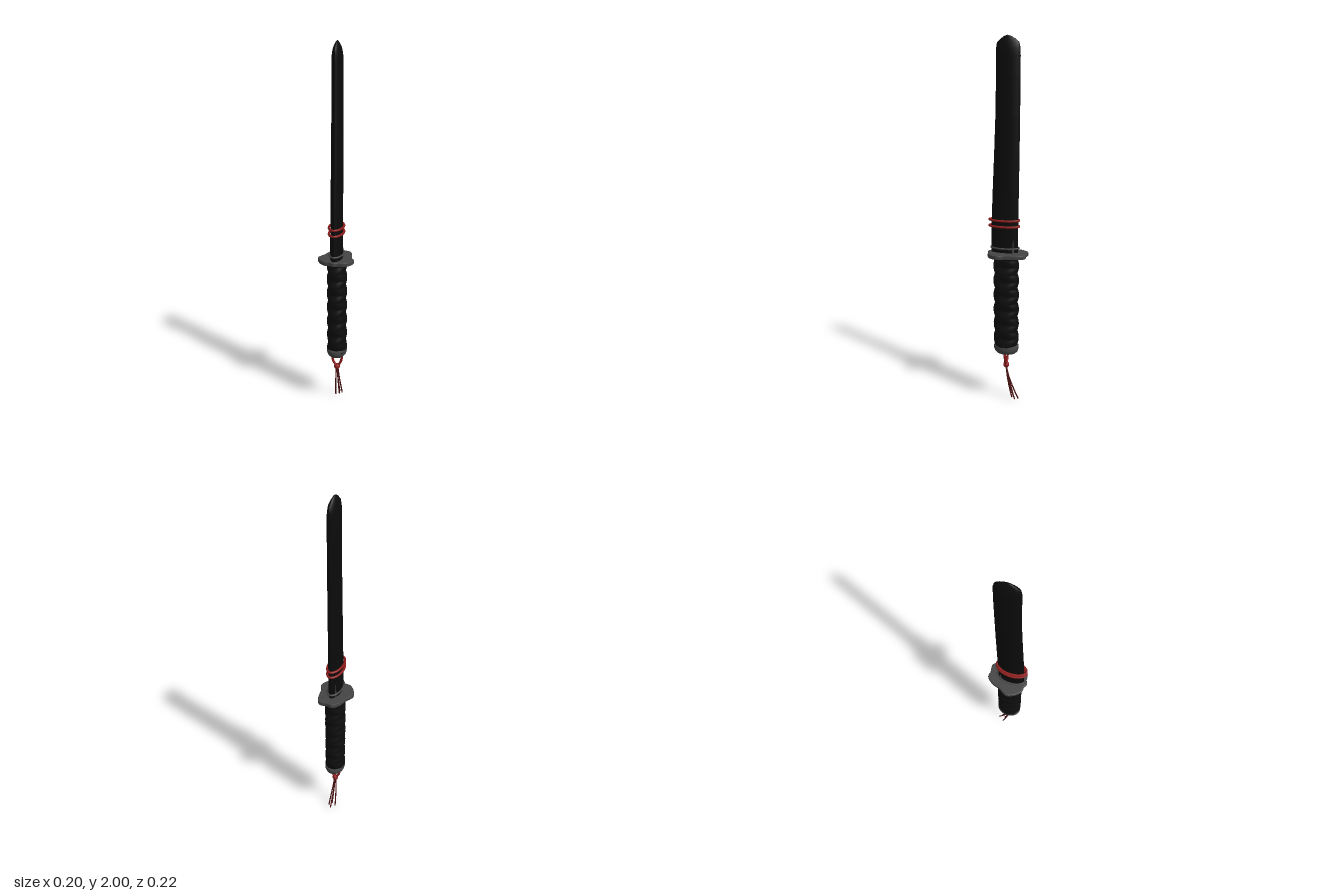
import * as THREE from 'three';

const mat = (name, color, side = THREE.FrontSide) => {
  const m = new THREE.MeshStandardMaterial({ color, side });
  m.name = name;
  return m;
};

// Surface through rings of points; point(i, angle) returns [x, y, z], rings run upward
function loft(ringCount, sides, point) {
  const pos = [], idx = [];
  for (let i = 0; i < ringCount; i++) {
    for (let j = 0; j < sides; j++) pos.push(...point(i, (j / sides) * Math.PI * 2));
  }
  for (let i = 0; i < ringCount - 1; i++) {
    for (let j = 0; j < sides; j++) {
      const k = (j + 1) % sides;
      const a = i * sides + j, b = i * sides + k, c = a + sides, d = b + sides;
      idx.push(a, c, b, b, c, d);
    }
  }
  const g = new THREE.BufferGeometry();
  g.setAttribute('position', new THREE.Float32BufferAttribute(pos, 3));
  g.setIndex(idx);
  g.computeVertexNormals();
  return g;
}

// Lens-shaped section point: half width hx, spanning z from back to front
function lens(angle, hx, back, front, power = 1.2) {
  const c = Math.cos(angle);
  return [Math.sign(c) * hx * Math.abs(c) ** power,
    (front + back) / 2 + ((front - back) / 2) * Math.sin(angle)];
}

export function createModel() {
  const group = new THREE.Group();
  const black = mat('blade black', 0x0b0b0b);
  const wrapBlack = mat('handle black', 0x0e0e0e);
  const gray = mat('dark gray metal', 0x444444);
  const red = mat('red cord', 0x8e1c1c);
  const darkRed = mat('dark red thread', 0x4c1212);

  const add = (name, geometry, material, parent = group) => {
    const m = new THREE.Mesh(geometry, material);
    m.name = name;
    parent.add(m);
    return m;
  };
  const V = (x, y, z) => new THREE.Vector3(x, y, z);

  // Blade: y, half width, back z, front z
  const blade = [
    [0.85, 0.032, -0.06, 0.09], [1.0, 0.032, -0.062, 0.088], [1.2, 0.031, -0.065, 0.08],
    [1.4, 0.03, -0.068, 0.071], [1.6, 0.029, -0.07, 0.063], [1.8, 0.028, -0.072, 0.059],
    [1.9, 0.028, -0.072, 0.059], [1.935, 0.026, -0.071, 0.058], [1.965, 0.02, -0.065, 0.053],
    [1.985, 0.011, -0.04, 0.03], [1.996, 0.005, -0.018, 0.012], [2.0, 0.0005, -0.004, -0.002],
  ];
  add('blade', loft(blade.length, 32, (i, a) => {
    const [y, hx, back, front] = blade[i];
    const [x, z] = lens(a, hx, back, front);
    return [x, y, z];
  }), black);

  // Cord rings round the blade and the collar above the guard
  const ring = (name, y, hx, back, front, r, material) => {
    const pts = [];
    for (let i = 0; i < 32; i++) {
      const [x, z] = lens((i / 32) * Math.PI * 2, hx, back, front, 1.1);
      pts.push(V(x, y, z));
    }
    add(name, new THREE.TubeGeometry(new THREE.CatmullRomCurve3(pts, true), 64, r, 8, true), material);
  };
  ring('upperCordRing', 1.045, 0.038, -0.066, 0.099, 0.0065, red);
  ring('lowerCordRing', 1.012, 0.038, -0.066, 0.099, 0.0065, red);
  ring('collarRing', 0.892, 0.037, -0.066, 0.09, 0.005, gray);

  // Slim tapered prongs standing on the guard beside the blade
  for (const s of [-1, 1]) {
    const prong = add(s > 0 ? 'leftProng' : 'rightProng', new THREE.ConeGeometry(0.006, 0.09, 8), gray);
    prong.position.set(s * 0.022, 0.91, -0.04);
  }

  // Guard: lobed plate with a soft bevel
  const outline = [
    [0, -0.104], [0.042, -0.108], [0.062, -0.078], [0.072, -0.03], [0.078, 0.0], [0.094, 0.03],
    [0.077, 0.072], [0.05, 0.09], [0.02, 0.094], [0, 0.103], [-0.02, 0.094], [-0.05, 0.09],
    [-0.078, 0.065], [-0.097, 0.022], [-0.088, -0.002], [-0.072, -0.03], [-0.06, -0.07], [-0.03, -0.107],
  ].map(([x, z]) => V(x, -z, 0));
  const edge = new THREE.CatmullRomCurve3(outline, true).getPoints(90).slice(0, -1);
  const guardGeo = new THREE.ExtrudeGeometry(
    new THREE.Shape(edge.map((p) => new THREE.Vector2(p.x, p.y))),
    { depth: 0.015, bevelThickness: 0.004, bevelSize: 0.004, bevelSegments: 2 });
  guardGeo.rotateX(-Math.PI / 2);
  guardGeo.translate(0, 0.849, 0);
  add('guard', guardGeo, gray);

  // Handle: oval grip swollen by two crossing spiral wraps
  const rows = 110, y0 = 0.315, y1 = 0.85, pitch = 0.083;
  add('handle', loft(rows, 40, (i, a) => {
    const y = y0 + ((y1 - y0) * i) / (rows - 1);
    const p = (y / pitch) * Math.PI * 2;
    const wave = Math.max(Math.cos(p + 2 * a), Math.cos(p - 2 * a));
    const swell = 0.004 * wave;
    return [(0.051 + swell) * Math.cos(a), y, 0.005 + (0.067 + swell) * Math.sin(a)];
  }), wrapBlack);

  // Pommel: rounded oval cap
  const profile = [[0.001, 0], [0.55, 0], [0.78, 0.005], [0.92, 0.015], [1, 0.03], [1, 0.046], [0.94, 0.053], [0.001, 0.053]];
  const pommel = new THREE.LatheGeometry(profile.map(([x, y]) => new THREE.Vector2(x, y)), 40);
  pommel.scale(0.056, 1, 0.07);
  pommel.translate(0, 0.28, 0.004);
  pommel.computeVertexNormals();
  add('pommel', pommel, gray);

  // Tassel: cord loop, knot and hanging threads
  const tassel = new THREE.Group();
  tassel.name = 'tassel';
  group.add(tassel);
  for (const s of [-1, 1]) {
    const loop = new THREE.CatmullRomCurve3([
      V(s * 0.024, 0.295, 0.005), V(s * 0.027, 0.265, 0.005), V(s * 0.021, 0.238, 0.005), V(s * 0.003, 0.21, 0.005)]);
    add('cordLoop', new THREE.TubeGeometry(loop, 16, 0.007, 8), red, tassel);
  }
  const knot = add('knot', new THREE.SphereGeometry(0.017, 16, 12), red, tassel);
  knot.position.set(0, 0.207, 0.005);
  [[-0.016, -0.035], [0.002, -0.066], [0.019, -0.05], [0.006, -0.03]].forEach(([x, z], i) => {
    const thread = new THREE.CatmullRomCurve3([
      V(x * 0.25, 0.2, 0.005), V(x * 0.5, 0.14, 0.005 + (z - 0.005) * 0.2),
      V(x * 0.8, 0.07, 0.005 + (z - 0.005) * 0.58), V(x, 0.003 + 0.003 * i, z)]);
    add('thread', new THREE.TubeGeometry(thread, 20, 0.0038, 6), darkRed, tassel);
  });

  // Rest the lowest thread exactly on the ground
  group.position.y = 0;
  return group;
}
